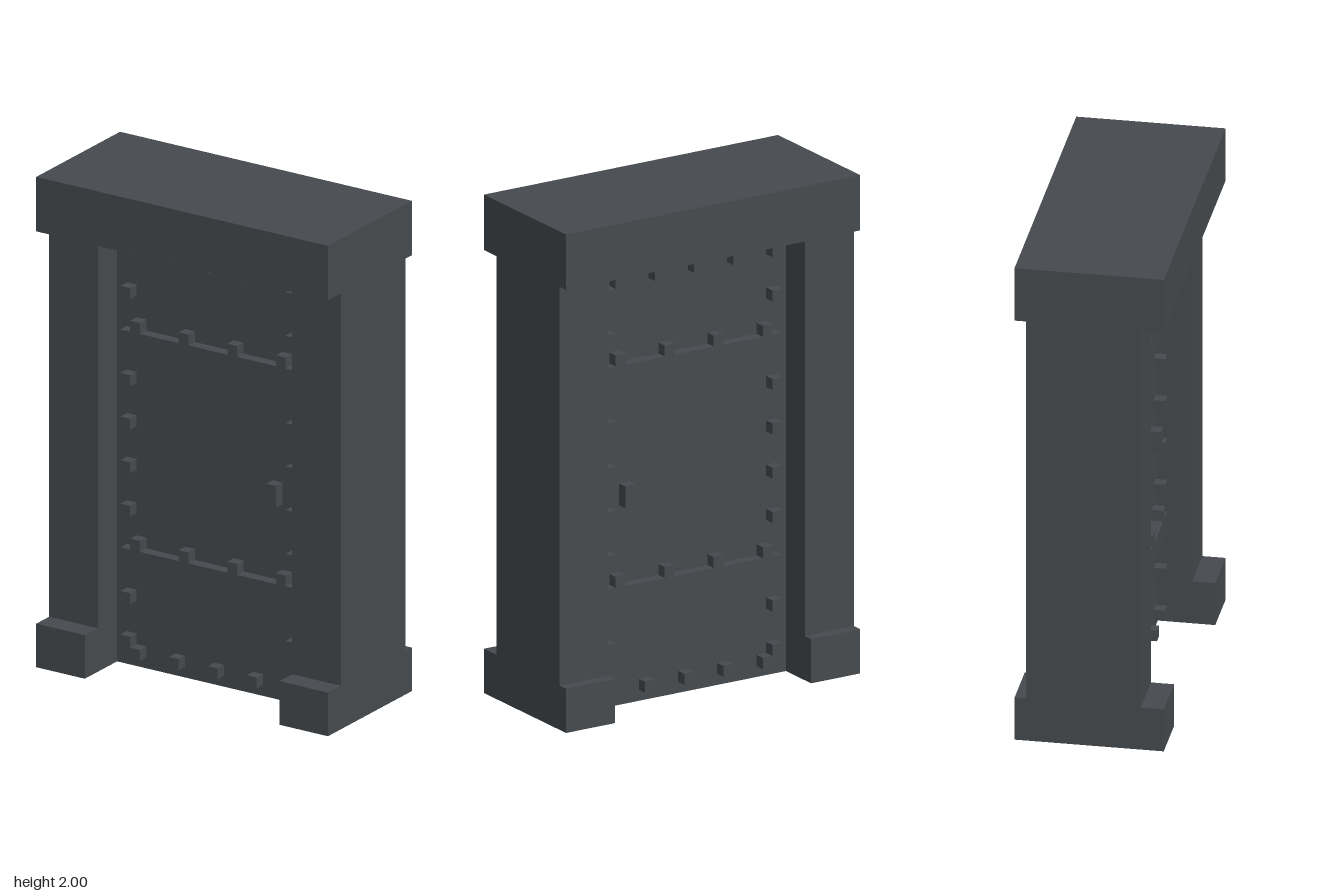
import * as THREE from 'three';

// Everything sits on a block grid, 45 units tall
const U = 2 / 45;

export function createModel() {
  const group = new THREE.Group();
  group.name = 'door';
  const iron = new THREE.MeshStandardMaterial({ color: 0x464a4e });
  iron.name = 'dark iron';

  // Box from min and max corners in grid units
  function block(name, x0, x1, y0, y1, z0, z1) {
    const geometry = new THREE.BoxGeometry((x1 - x0) * U, (y1 - y0) * U, (z1 - z0) * U);
    const mesh = new THREE.Mesh(geometry, iron);
    mesh.position.set((x0 + x1) / 2 * U, (y0 + y1) / 2 * U, (z0 + z1) / 2 * U);
    mesh.name = name;
    group.add(mesh);
  }

  // Frame: lintel, pillars and their feet
  block('lintel', -15, 15, 40, 45, -6.5, 6.5);
  for (const [side, x] of [['left', 10], ['right', -15]]) {
    block(side + 'Pillar', x, x + 5, 4, 40, -5.5, 4.5);
    block(side + 'Foot', x, x + 5, 0, 4, -6.5, 6.5);
  }

  // Recessed door leaf
  block('doorPanel', -10, 10, 0, 40, -2.5, 1.5);

  // Raised details, repeated on the front and back of the leaf
  function raised(name, x0, x1, y0, y1) {
    block(name + 'Front', x0, x1, y0, y1, 1.5, 2.5);
    block(name + 'Back', x0, x1, y0, y1, -3.5, -2.5);
  }
  const rivet = (x, y) => raised('rivet', x, x + 1, y, y + 1);

  // Straps with rivets along their top edge
  for (const y of [9, 29]) {
    raised('strap', -9, 9, y, y + 2);
    for (const x of [-8, -3, 2, 7]) rivet(x, y + 2);
  }

  // Rivets around the rim
  for (const y of [2, 6, 14, 18, 22, 26, 34]) rivet(-9, y);
  for (const y of [5, 13, 17, 21, 25, 33, 37]) rivet(8, y);
  for (let i = 0; i < 5; i++) {
    rivet(-9 + i * 4, 38);
    rivet(-8 + i * 4, 1);
  }

  raised('handle', 6, 7, 18, 20);

  return group;
}
